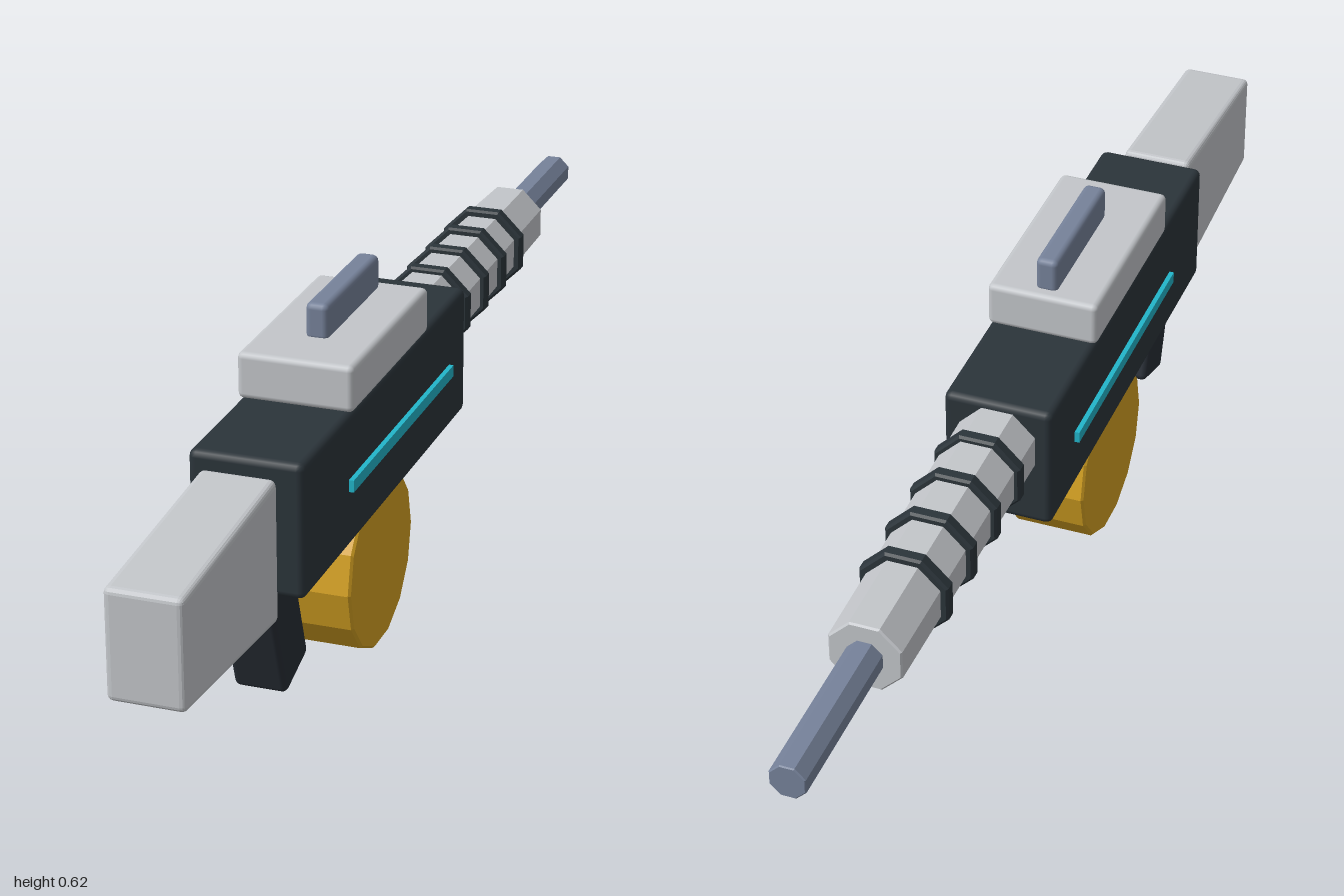
import * as THREE from 'three';
import { RoundedBoxGeometry } from 'three/addons/geometries/RoundedBoxGeometry.js';

export function createModel() {
  const root = new THREE.Group();
  root.name = 'toyBlaster';

  const material = (name, color) => {
    const m = new THREE.MeshStandardMaterial({ color });
    m.name = name;
    return m;
  };
  const charcoal = material('charcoal', 0x2b343a);
  const gripBlack = material('gripBlack', 0x272d35);
  const paleGrey = material('paleGrey', 0xc3c6ca);
  const steel = material('steel', 0x76829a);
  const gold = material('gold', 0xd4a122);
  const cyan = material('cyan', 0x22b5ca);

  const add = (name, geometry, mat, x = 0, y = 0, z = 0) => {
    const mesh = new THREE.Mesh(geometry, mat);
    mesh.name = name;
    mesh.position.set(x, y, z);
    root.add(mesh);
    return mesh;
  };
  const box = (w, h, d, r = 0.01) => new RoundedBoxGeometry(w, h, d, 2, r);

  // Faceted solid of revolution with chamfered rims, axis along y
  const facetedDrum = (r0, r1, length, sides, chamfer) => {
    const h = length / 2;
    const profile = [
      [0, -h], [r0 - chamfer, -h], [r0, -h + chamfer],
      [r1, h - chamfer], [r1 - chamfer, h], [0, h],
    ].map(([x, y]) => new THREE.Vector2(x, y));
    const g = new THREE.LatheGeometry(profile, sides).toNonIndexed();
    g.computeVertexNormals();
    return g;
  };
  // Octagonal rod along -z with a flat on top, r0 at the front, r1 at the back
  const rod = (r0, r1, length, chamfer) =>
    facetedDrum(r0, r1, length, 8, chamfer).rotateY(Math.PI / 8).rotateX(-Math.PI / 2);

  // Main body and the parts stacked on top
  add('body', box(0.184, 0.222, 0.776, 0.012), charcoal, 0, 0.376, 0.225);
  add('topPlate', box(0.19, 0.077, 0.362), paleGrey, 0, 0.5235, 0.224);
  add('topRail', box(0.038, 0.062, 0.244), steel, 0, 0.586, 0.186);

  // Stock, shrinking in height towards its free end
  const stockGeometry = box(0.122, 0.2, 0.363, 0.01);
  const p = stockGeometry.attributes.position;
  for (let i = 0; i < p.count; i++) {
    const t = p.getZ(i) / 0.363 + 0.5;
    p.setY(i, p.getY(i) * THREE.MathUtils.lerp(1.175, 0.885, t));
  }
  stockGeometry.computeVertexNormals();
  add('stock', stockGeometry, paleGrey, 0, 0.356, 0.8185);

  // Raked grip
  add('grip', box(0.087, 0.222, 0.1), gripBlack, 0, 0.196, 0.551).rotation.x = 0.31;

  // Drum magazine lying across the body
  add('drumMagazine', facetedDrum(0.151, 0.151, 0.142, 14, 0.004).rotateZ(Math.PI / 2),
    gold, 0, 0.1475, 0.205);

  // Barrel, muzzle rod and cooling rings
  const axisY = 0.41;
  add('barrel', rod(0.07, 0.064, 0.575, 0.003), paleGrey, 0, axisY, -0.4275);
  add('muzzleRod', rod(0.031, 0.031, 0.32, 0.002), steel, 0, axisY, -0.84);
  for (let i = 0; i < 4; i++) {
    add('barrelRing', rod(0.0785, 0.0785, 0.024, 0.004), charcoal, 0, axisY, -0.244 - i * 0.1027);
  }

  // Glowing side strips
  for (const side of [-1, 1]) {
    add(side > 0 ? 'leftStrip' : 'rightStrip', new THREE.BoxGeometry(0.008, 0.02, 0.49),
      cyan, side * 0.1, 0.376, 0.183);
  }

  return root;
}
